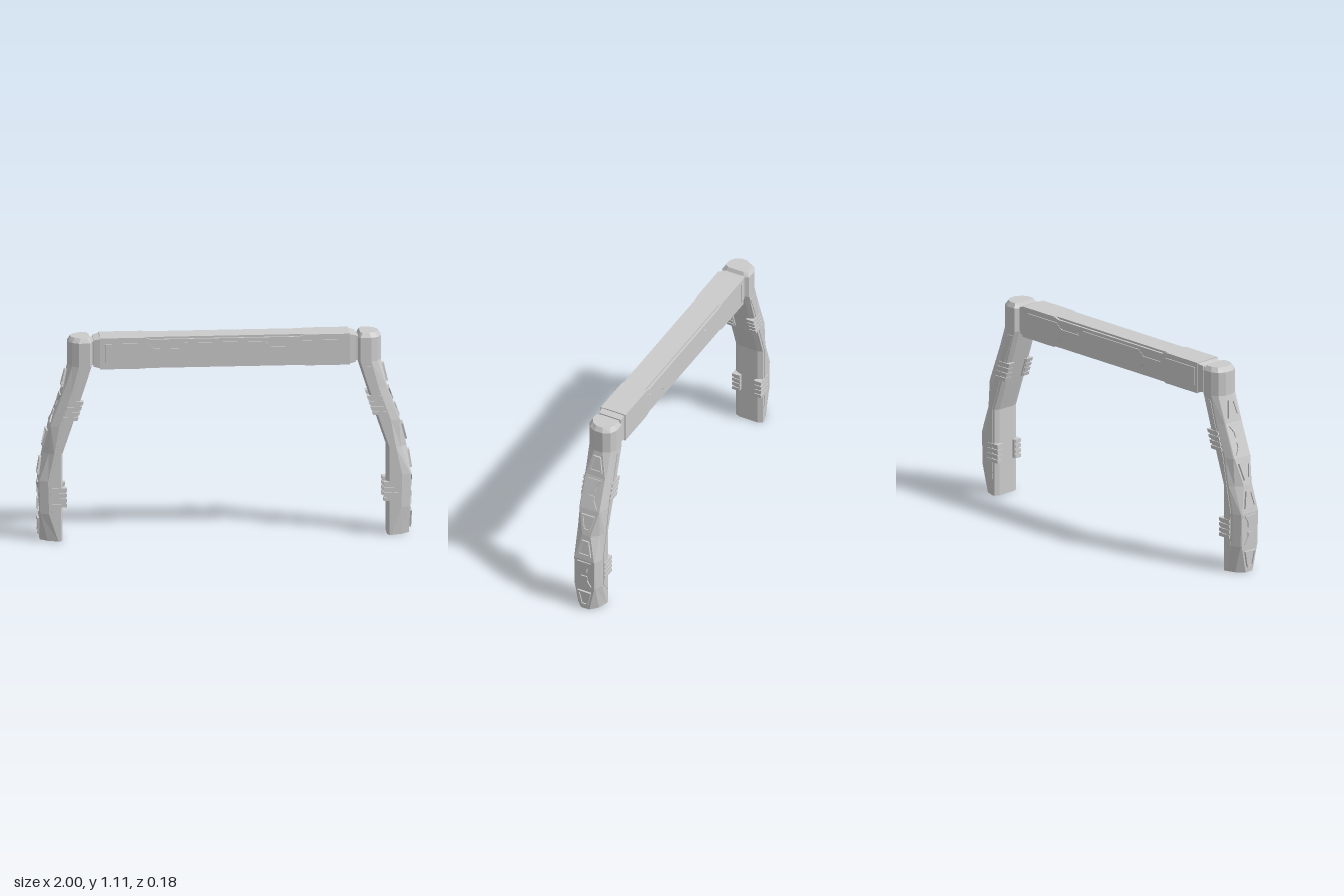
import * as THREE from 'three';

const mat = new THREE.MeshStandardMaterial({ color: 0xcccccc, flatShading: true });

// Leg sections: y, inner x, outer x, half width of outer face, x of outer bevel, x of front edge, depth scale
const SECTIONS = [
  [0, 0.865, 0.985, 0.025, 0.945, 0.89, 1],
  [0.15, 0.865, 0.99, 0.058, 0.985, 0.94, 1],
  [0.33, 0.865, 0.994, 0.058, 0.99, 0.945, 1],
  [0.48, 0.865, 0.972, 0.025, 0.94, 0.912, 1],
  [0.63, 0.814, 0.935, 0.058, 0.93, 0.885, 1],
  [0.81, 0.756, 0.868, 0.058, 0.863, 0.82, 1],
  [0.955, 0.71, 0.835, 0.025, 0.815, 0.78, 1],
  [1.085, 0.71, 0.835, 0.025, 0.815, 0.78, 1],
  [1.11, 0.722, 0.82, 0.022, 0.8, 0.77, 0.82],
];

function add(parent, geometry, name) {
  const mesh = new THREE.Mesh(geometry, mat);
  mesh.name = name;
  parent.add(mesh);
  return mesh;
}

function box(parent, name, w, h, d, x, y, z) {
  add(parent, new THREE.BoxGeometry(w, h, d), name).position.set(x, y, z);
}

// Flat plate cut from an outline, optionally with a hole, between depths z0 and z1
function plate(outline, z0, z1, hole) {
  const toVec = (p) => new THREE.Vector2(p[0], p[1]);
  const shape = new THREE.Shape(outline.map(toVec));
  if (hole) shape.holes.push(new THREE.Path(hole.map(toVec)));
  const g = new THREE.ExtrudeGeometry(shape, { depth: z1 - z0, bevelEnabled: false });
  return g.translate(0, 0, z0);
}

// Adds the geometry on the front and its copy on the back
function frontAndBack(parent, geometry, name) {
  add(parent, geometry, name + 'Front');
  add(parent, geometry, name + 'Back').scale.z = -1;
}

// Closed solid through rings of equal point count, stacked upward
function loft(rings) {
  const n = rings[0].length, idx = [];
  for (let j = 0; j < rings.length - 1; j++) {
    for (let i = 0; i < n; i++) {
      const a = j * n + i, b = j * n + (i + 1) % n;
      idx.push(a, a + n, b + n, a, b + n, b);
    }
  }
  const top = (rings.length - 1) * n;
  for (let i = 1; i < n - 1; i++) idx.push(0, i, i + 1, top, top + i + 1, top + i);
  const g = new THREE.BufferGeometry();
  g.setAttribute('position', new THREE.Float32BufferAttribute(rings.flat(2), 3));
  g.setIndex(idx);
  g.computeVertexNormals();
  return g;
}

function legRing([y, xi, xo, w, x1, x2, s]) {
  const half = [[xo, w], [x1, 0.0625], [x2, 0.081], [xi + 0.012, 0.081], [xi, 0.055]];
  const front = half.map(([x, z]) => [x, y, z * s]);
  const back = half.map(([x, z]) => [x, y, -z * s]).reverse();
  return [...front, ...back];
}

// Places a detail on the outer face between two neighbouring sections
function onOuterFace(parent, k) {
  const [a, b] = [SECTIONS[k], SECTIONS[k + 1]];
  const g = new THREE.Group();
  g.position.set((a[2] + b[2]) / 2, (a[0] + b[0]) / 2, 0);
  g.rotation.set(0, Math.PI / 2, Math.atan2(a[2] - b[2], b[0] - a[0]), 'ZYX');
  parent.add(g);
  return g;
}

const trapezoid = (h, wide, narrow) => [[-narrow, -h], [narrow, -h], [wide, h], [-wide, h]];

function buildLeg(name) {
  const leg = new THREE.Group();
  leg.name = name;
  add(leg, loft(SECTIONS.map(legRing)), 'legBody');

  // Raised strip running down the front and back faces
  const rows = SECTIONS.slice(1, 6);
  const strip = [
    [0.885, 0.09],
    ...rows.map((r) => [r[5] - 0.012, r[0]]),
    [0.775, 0.93], [0.735, 0.93],
    ...rows.map((r) => [r[1] + 0.026, r[0]]).reverse(),
  ];
  frontAndBack(leg, plate(strip, 0.07, 0.084), 'legStrip');

  // Framed trapezoid inserts, wide end toward the armour plates
  for (const [k, flip] of [[0, 1], [2, -1], [3, 1], [5, -1]]) {
    const g = onOuterFace(leg, k);
    g.name = 'legInsert';
    const frame = add(g, plate(trapezoid(0.046, 0.04, 0.02), -0.01, 0.011,
      trapezoid(0.036, 0.029, 0.013)), 'insertFrame');
    const panel = add(g, plate(trapezoid(0.037, 0.03, 0.014), -0.01, 0.004), 'insertPanel');
    if (flip < 0) frame.rotation.z = panel.rotation.z = Math.PI;
  }

  // Pairs of flared panels on the wide armour faces
  for (const k of [1, 4]) {
    const g = onOuterFace(leg, k);
    g.name = 'armourPanels';
    const flare = [[-0.018, 0.014], [0.018, 0.014], [0.018, 0.042], [0.042, 0.08], [-0.042, 0.08], [-0.018, 0.042]];
    const geo = plate(flare, -0.01, 0.007);
    add(g, geo, 'upperFlare');
    add(g, geo, 'lowerFlare').rotation.z = Math.PI;
  }

  // Ribbed clamps on the inner corners
  for (const [y, x, lean] of [[0.24, 0.845, 0], [0.715, 0.772, 0.32]]) {
    const slab = (y0, y1, w, x0) => [
      [x + x0 - lean * y0, y + y0], [x + w - lean * y0, y + y0],
      [x + w - lean * y1, y + y1], [x + x0 - lean * y1, y + y1],
    ];
    frontAndBack(leg, plate(slab(-0.05, 0.05, 0.055, 0.005), 0.042, 0.08), 'clampBase');
    for (let i = 0; i < 4; i++) {
      const y0 = -0.052 + i * 0.0285;
      frontAndBack(leg, plate(slab(y0, y0 + 0.0185, 0.08, 0), 0.047, 0.088), 'clampRib');
    }
  }
  return leg;
}

// Dumbbell outline: tall end and centre panels joined by narrow waists, shrunk by inset
function dumbbell(i) {
  const q = [[0.22 + i * 0.4, 0.06 - i], [0.25 + i * 0.4, 0.03 - i], [0.375 - i * 0.4, 0.03 - i],
    [0.41 + i * 0.4, 0.06 - i], [0.648 - i, 0.06 - i]];
  q[0][0] = 0.22 - i * 0.4;
  q[1][0] = 0.25 - i * 0.4;
  q[2][0] = 0.375 + i * 0.4;
  return mirror4(q);
}

// Mirrors a quarter outline into a closed one around the beam centre
function mirror4(q) {
  const r = [...q].reverse();
  return [
    ...q, ...r.map(([x, y]) => [x, -y]),
    ...q.map(([x, y]) => [-x, -y]), ...r.map(([x, y]) => [-x, y]),
  ];
}

function buildBeam() {
  const beam = new THREE.Group();
  beam.name = 'beam';
  beam.position.y = 1.0245;
  box(beam, 'beamCore', 1.33, 0.17, 0.124, 0, 0, 0);

  // Outer cladding, lower along the middle, with a sunken dumbbell window
  const cladding = mirror4([[0.395, 0.074], [0.43, 0.085], [0.667, 0.085]]);
  frontAndBack(beam, plate(cladding, 0.06, 0.0745, dumbbell(0)), 'cladding');
  frontAndBack(beam, plate(dumbbell(0.009), 0.06, 0.068), 'innerPanel');

  // Stepped necks joining the beam to the legs
  for (const s of [-1, 1]) {
    const neck = new THREE.CylinderGeometry(0.063 * Math.SQRT2, 0.07 * Math.SQRT2, 0.034, 4, 1);
    neck.rotateY(Math.PI / 4).rotateZ(-Math.PI / 2);
    neck.scale(s, 1.15, s);
    const collar = add(beam, neck, 'neckCollar');
    collar.position.x = s * 0.683;
    box(beam, 'neck', 0.06, 0.13, 0.11, s * 0.7, 0, 0);
  }
  return beam;
}

export function createModel() {
  const model = new THREE.Group();
  model.name = 'archway';
  model.add(buildBeam());
  model.add(buildLeg('leftLeg'));
  const right = buildLeg('rightLeg');
  right.rotation.y = Math.PI;
  model.add(right);
  return model;
}
